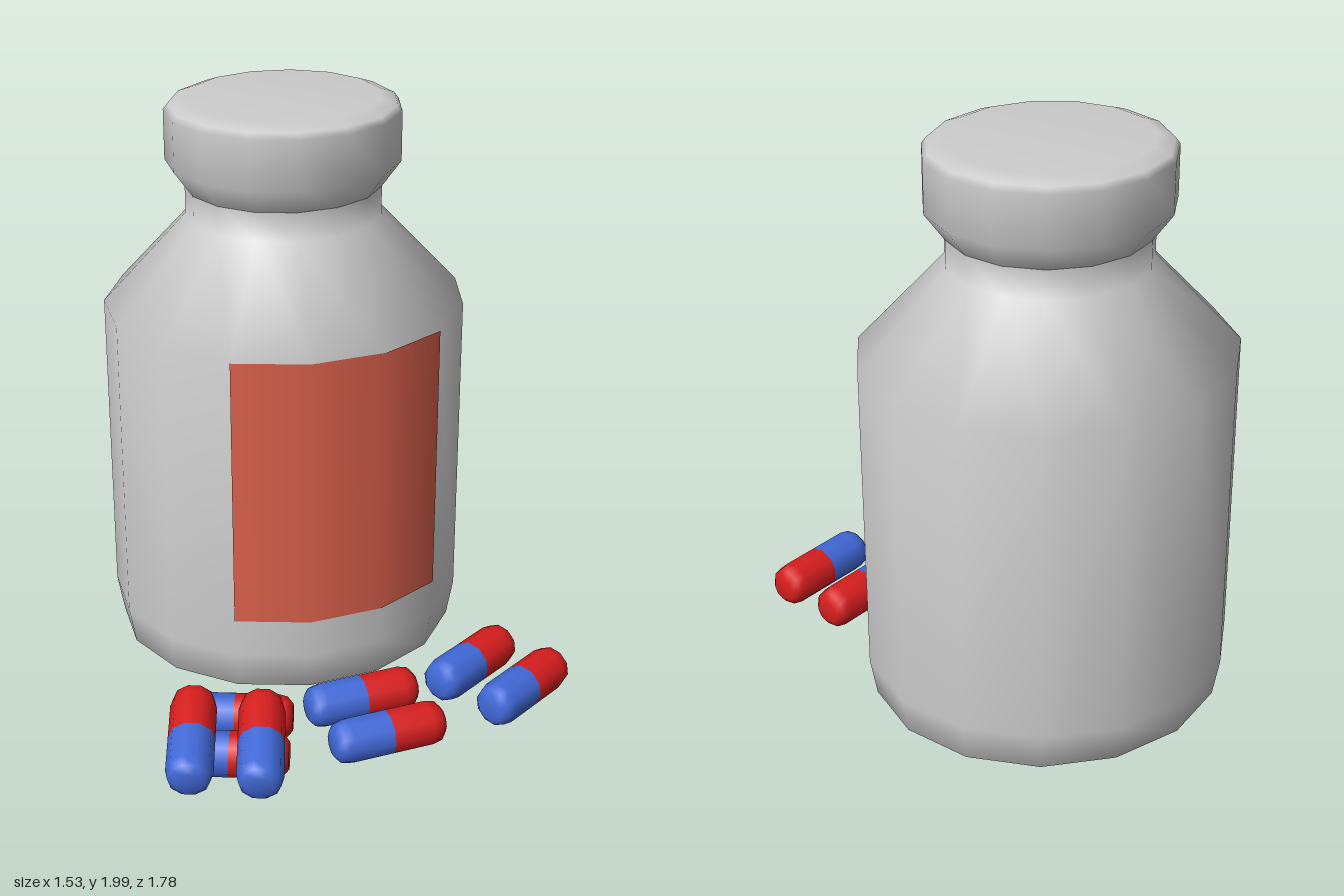
import * as THREE from 'three';

const material = (color) => new THREE.MeshStandardMaterial({ color });

// Revolved surface from [radius, y] pairs, listed bottom to top
function lathe(name, profile, mat, sides, start = 0, sweep = Math.PI * 2) {
  const points = profile.map(([r, y]) => new THREE.Vector2(r, y));
  const mesh = new THREE.Mesh(new THREE.LatheGeometry(points, sides, start, sweep), mat);
  mesh.name = name;
  return mesh;
}

export function createModel() {
  const model = new THREE.Group();
  model.name = 'pillBottle';
  const red = material(0xd81e1e);
  const blue = material(0x4169d8);

  // Bottle: 15 sides, slightly squashed front to back
  const bottle = new THREE.Group();
  bottle.name = 'bottle';
  bottle.position.set(0.026, 0, -0.298);
  bottle.scale.z = 0.95;
  bottle.add(lathe('bottleBody', [
    [0, 0.045], [0.54, 0.045], [0.6, 0.068], [0.623, 0.2], [0.623, 1.29],
    [0.335, 1.6], [0.335, 1.71],
  ], material(0xcccccc), 15, Math.PI));
  bottle.add(lathe('cap', [
    [0.335, 1.7], [0.4, 1.79], [0.4, 1.96], [0.385, 1.98], [0.33, 2], [0, 2],
  ], material(0xcccccc), 15, Math.PI));

  // Label wraps the three front facets
  const labelMaterial = material(0xd9604c);
  labelMaterial.side = THREE.DoubleSide;
  bottle.add(lathe('label', [[0.627, 0.335], [0.627, 1.288]], labelMaterial,
    3, -Math.PI / 5, Math.PI * 2 / 5));
  model.add(bottle);

  // Capsules: centre, then direction from the blue end to the red end
  const end = [[0, 0.195], [0.045, 0.195], [0.068, 0.175], [0.076, 0.14], [0.076, 0]];
  const blueProfile = end.map(([r, y]) => [r, -y]);
  const redProfile = [...end].reverse();
  const capsules = [
    [[0.03, 0.085, 0.412], [1, 0, 0]],
    [[0.03, 0.085, 0.637], [1, 0, 0]],
    [[0.47, 0.085, 0.352], [0.335, 0, -0.175]],
    [[0.573, 0.085, 0.553], [0.335, 0, -0.175]],
    [[-0.408, 0.085, 0.365], [0.335, 0, 0.15]],
    [[-0.497, 0.085, 0.565], [0.335, 0, 0.15]],
    [[-0.635, 0.198, 0.597], [0.125, 0.07, -0.32]],
    [[-0.435, 0.198, 0.697], [0.125, 0.07, -0.32]],
  ];
  const up = new THREE.Vector3(0, 1, 0);
  capsules.forEach(([centre, direction], i) => {
    const capsule = new THREE.Group();
    capsule.name = `capsule${i + 1}`;
    capsule.add(lathe('blueHalf', blueProfile, blue, 10), lathe('redHalf', redProfile, red, 10));
    capsule.position.set(...centre);
    capsule.quaternion.setFromUnitVectors(up, new THREE.Vector3(...direction).normalize());
    model.add(capsule);
  });

  return model;
}
